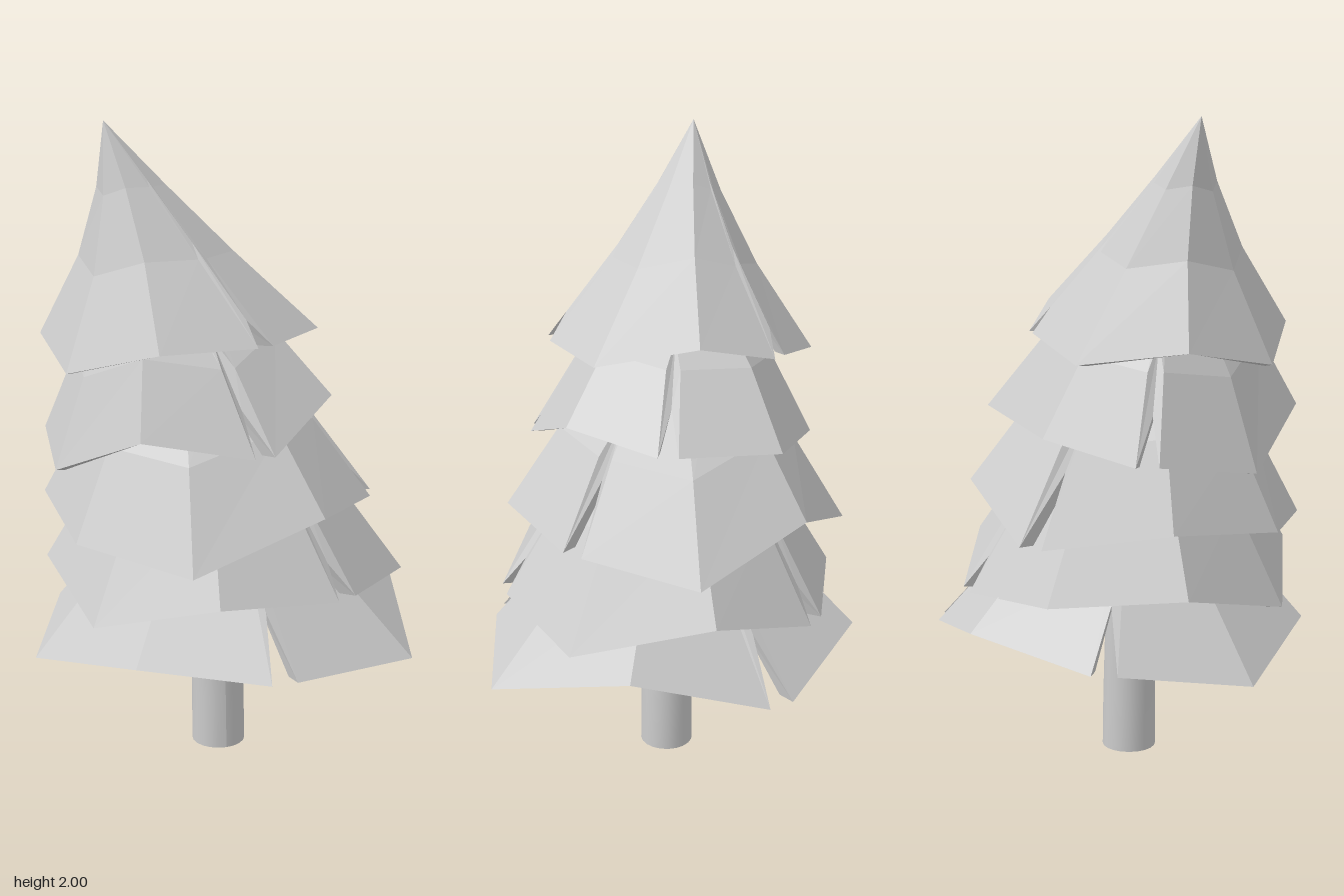
import * as THREE from 'three';

const grey = new THREE.MeshStandardMaterial({ color: 0xcccccc });
grey.name = 'paleGrey';

// Eight-sided tiers: corner heights and radii run from the front round by +x,
// starting at angle "turn"; "slits" are the corners split open, up to "slitTop".
// "girth" is the width part way up and "bend" shifts that part sideways.
const tiers = [
  { name: 'topBranches', tipX: -0.35, tipY: 2, centreX: -0.13, turn: 22,
    girth: 0.55, bend: 0.07, slits: [0, 3], slitTop: 0.88,
    heights: [1.38, 1.38, 1.44, 1.37, 1.31, 1.35, 1.29, 1.38],
    radii: [0.41, 0.43, 0.37, 0.37, 0.42, 0.42, 0.41, 0.43] },
  { name: 'upperBranches', tipX: -0.22, tipY: 1.7, centreX: -0.08, turn: 10,
    girth: 0.69, bend: 0, slits: [0, 2, 5], slitTop: 0.8,
    heights: [1.07, 1.19, 1.15, 1.13, 1.08, 1.03, 0.98, 1.13],
    radii: [0.46, 0.44, 0.44, 0.47, 0.42, 0.48, 0.46, 0.48] },
  { name: 'middleBranches', tipX: -0.12, tipY: 1.5, centreX: -0.02, turn: 22,
    girth: 0.69, bend: 0, slits: [1, 4], slitTop: 0.72,
    heights: [0.88, 0.85, 0.8, 0.91, 0.78, 0.83, 0.78, 0.75],
    radii: [0.52, 0.5, 0.55, 0.5, 0.55, 0.53, 0.52, 0.56] },
  { name: 'lowerBranches', tipX: -0.06, tipY: 1.35, centreX: 0, turn: 28,
    girth: 0.67, bend: 0, slits: [0, 3], slitTop: 0.87,
    heights: [0.62, 0.58, 0.67, 0.57, 0.6, 0.63, 0.53, 0.65],
    radii: [0.54, 0.59, 0.53, 0.52, 0.53, 0.54, 0.53, 0.55] },
  { name: 'bottomBranches', tipX: -0.02, tipY: 1.1, centreX: 0, turn: 2,
    girth: 0.6, bend: 0, slits: [0, 3, 5], slitTop: 0.75,
    heights: [0.42, 0.39, 0.53, 0.41, 0.49, 0.42, 0.36, 0.45],
    radii: [0.58, 0.66, 0.6, 0.6, 0.59, 0.56, 0.6, 0.56] },
];

// Scale points about the tip: t in height, s in width, moved sideways by "bend"
function shrink(points, tip, t, s, bend = 0) {
  return points.map(p => new THREE.Vector3(
    tip.x + (p.x - tip.x) * s + bend * (1 - s),
    tip.y + (p.y - tip.y) * t,
    tip.z + (p.z - tip.z) * s,
  ));
}

// Rim corners, with a notch cut into each slit corner
function tierRim({ centreX, turn, slits, slitTop, heights, radii }, tip) {
  return heights.flatMap((y, i) => {
    const corner = degrees => {
      const angle = THREE.MathUtils.degToRad(turn + i * 45 + degrees);
      return new THREE.Vector3(centreX + radii[i] * Math.sin(angle), y, radii[i] * Math.cos(angle));
    };
    if (!slits.includes(i)) return [corner(0)];
    return [corner(-4), ...shrink([corner(0)], tip, slitTop, slitTop), corner(4)];
  });
}

// Faceted hollow skirt: ceiling, inner wall, lip, outer wall, tip
function tierGeometry(tier) {
  const { girth, bend } = tier;
  const tip = new THREE.Vector3(tier.tipX, tier.tipY, 0.01);
  const rim = tierRim(tier, tip);
  const ceiling = shrink(rim, tip, 0.65, girth - 0.1, bend);
  const centre = new THREE.Vector3(tip.x, ceiling[0].y, tip.z);
  const loops = [
    rim.map(() => centre),
    ceiling,
    shrink(rim, tip, 1.005, 0.9),
    rim,
    shrink(rim, tip, 0.62, girth, bend),
    shrink(rim, tip, 0.3, girth * 0.44, bend / 2),
    rim.map(() => tip),
  ];
  const points = [];
  for (let k = 0; k < loops.length - 1; k++) {
    for (let i = 0; i < rim.length; i++) {
      const j = (i + 1) % rim.length;
      const [a, b, c, d] = [loops[k][i], loops[k][j], loops[k + 1][j], loops[k + 1][i]];
      if (k > 0) points.push(a, b, c);
      if (k < loops.length - 2) points.push(a, c, d);
    }
  }
  const geometry = new THREE.BufferGeometry().setFromPoints(points);
  geometry.computeVertexNormals();
  return geometry;
}

// Smooth trunk that bends gently to the side
function trunkGeometry() {
  const height = 1.75;
  const geometry = new THREE.CylinderGeometry(0.07, 0.085, height, 20, 10);
  geometry.translate(0, height / 2, 0.015);
  const p = geometry.attributes.position;
  for (let i = 0; i < p.count; i++) p.setX(i, p.getX(i) - 0.064 * p.getY(i) ** 2);
  geometry.computeVertexNormals();
  return geometry;
}

export function createModel() {
  const model = new THREE.Group();
  model.name = 'leaningTree';
  const add = (name, geometry) => {
    const mesh = new THREE.Mesh(geometry, grey);
    mesh.name = name;
    model.add(mesh);
  };
  add('trunk', trunkGeometry());
  tiers.forEach(tier => add(tier.name, tierGeometry(tier)));
  return model;
}
